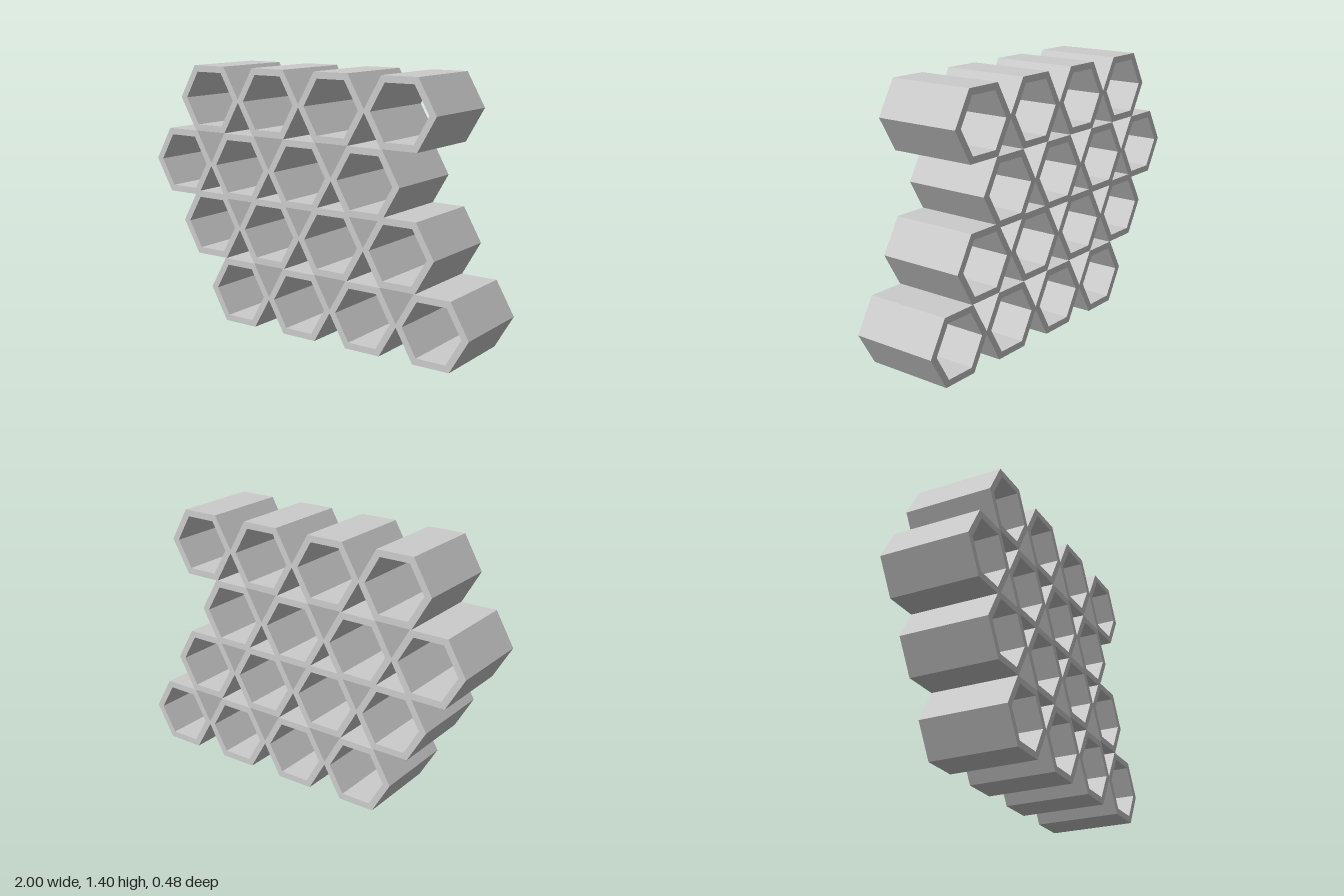
import * as THREE from 'three';

const OUTER = 0.205, INNER = 0.165, DEPTH = 0.476, PITCH = 0.397;

// Corner points of a hexagon with flat top and bottom
function hexagon(radius) {
  return Array.from({ length: 6 }, (_, i) => {
    const a = (i * Math.PI) / 3;
    return new THREE.Vector2(radius * Math.cos(a), radius * Math.sin(a));
  });
}

export function createModel() {
  const model = new THREE.Group();
  model.name = 'honeycombRack';
  const material = new THREE.MeshStandardMaterial({ color: 0xcccccc, flatShading: true });

  // One open hexagonal tube, centred in depth
  const shape = new THREE.Shape(hexagon(OUTER));
  shape.holes.push(new THREE.Path(hexagon(INNER).reverse()));
  const cell = new THREE.ExtrudeGeometry(shape, { depth: DEPTH, bevelEnabled: false });
  cell.translate(0, 0, -DEPTH / 2);

  // Four staggered rows, bottom to top: centre of the row and height
  const rows = [
    { x: 0.197, y: 0.178 },
    { x: 0, y: 0.535 },
    { x: -0.197, y: 0.868 },
    { x: 0, y: 1.224 },
  ];
  rows.forEach(({ x, y }, r) => {
    const row = new THREE.Group();
    row.name = `cellRow${r + 1}`;
    row.position.set(x, y, 0);
    for (let i = 0; i < 4; i++) {
      const tube = new THREE.Mesh(cell, material);
      tube.name = `hexCell${i + 1}`;
      tube.position.x = (i - 1.5) * (PITCH + 0.003);
      row.add(tube);
    }
    model.add(row);
  });
  return model;
}
